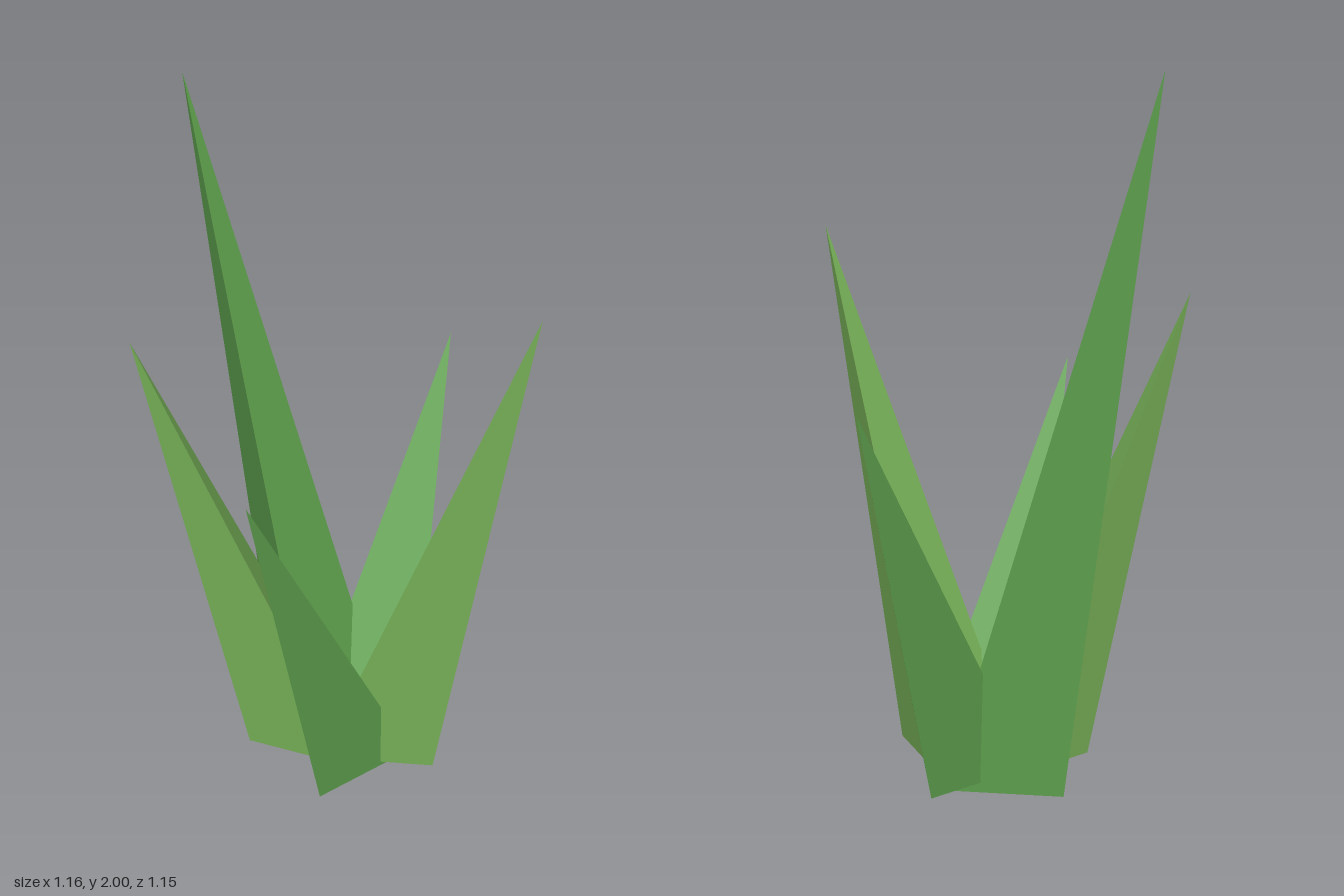
import * as THREE from 'three';

const deg = THREE.MathUtils.degToRad;

// name, base centre [x, y, z], heading of the outer ridge (0 = front), tip [x, y, z], colour
const BLADES = [
  ['frontBlade', [0.005, 0.03, 0.1], 0, [0.005, 1.57, 0.575], 0x7ab55a],
  ['rightBlade', [0.1, 0.03, 0], 104, [0.58, 1.16, -0.05], 0x5fa24e],
  ['backBlade', [0.01, 0, -0.1], 180, [0.01, 2, -0.575], 0x5fa24e],
  ['backLeftBlade', [-0.09, 0.03, -0.08], 225, [-0.42, 1.4, -0.42], 0x7ab55a],
  ['leftBlade', [-0.1, 0.015, 0.05], 284, [-0.58, 1.15, 0.1], 0x5fa24e],
];

// Three-sided spike whose tip is sheared away from its base
function makeBlade([name, base, heading, tip, color]) {
  const height = tip[1] - base[1];
  const geo = new THREE.ConeGeometry(0.2, height, 3, 1, false, deg(heading));
  geo.translate(0, height / 2, 0);
  const pos = geo.attributes.position;
  for (let i = 0; i < pos.count; i++) {
    const t = pos.getY(i) / height;
    pos.setX(i, pos.getX(i) + t * (tip[0] - base[0]));
    pos.setZ(i, pos.getZ(i) + t * (tip[2] - base[2]));
  }
  geo.computeVertexNormals();
  const mesh = new THREE.Mesh(geo, new THREE.MeshStandardMaterial({ color, flatShading: true }));
  mesh.name = name;
  mesh.position.set(...base);
  return mesh;
}

export function createModel() {
  const group = new THREE.Group();
  group.name = 'grassTuft';
  for (const blade of BLADES) group.add(makeBlade(blade));
  return group;
}
